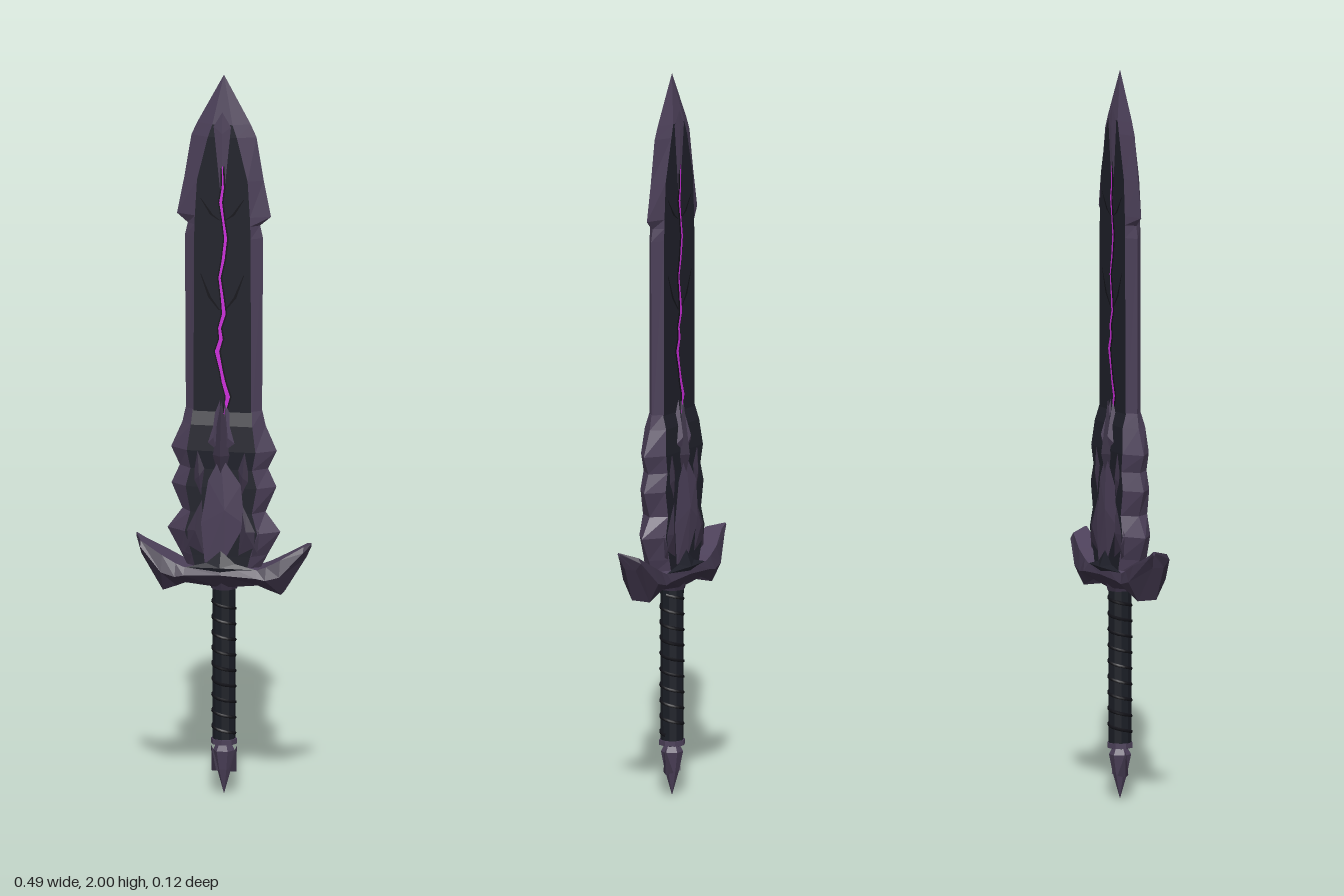
import * as THREE from 'three';

const mat = (name, color) => {
  const m = new THREE.MeshStandardMaterial({ color });
  m.name = name;
  return m;
};

export function createModel() {
  const model = new THREE.Group();
  model.name = 'sword';
  const purple = mat('dusky purple', 0x4c4059);
  const dim = mat('deep purple', 0x3a3145);
  const dark = mat('dark steel', 0x1f202a);
  const grip = mat('grip black', 0x1a1d25);
  const black = mat('crack black', 0x121218);
  const glow = mat('glowing magenta', 0xcc2cda);
  for (const m of [purple, dim, dark, grip]) m.flatShading = true;

  const add = (name, geo, material, parent = model) => {
    const mesh = new THREE.Mesh(geo, material);
    mesh.name = name;
    parent.add(mesh);
    return mesh;
  };

  // Faceted skin over rings of [x, y, z]; pick(side, row) chooses the material of a face
  function loft(name, rings, mats, pick) {
    const bins = mats.map(() => []);
    const tri = (k, ...p) => bins[k].push(...p.flat());
    const n = rings[0].length;
    rings.slice(0, -1).forEach((a, r) => {
      const b = rings[r + 1];
      for (let i = 0; i < n; i++) {
        const j = (i + 1) % n, k = pick(i, r);
        tri(k, a[i], a[j], b[j]);
        tri(k, a[i], b[j], b[i]);
      }
    });
    const first = rings[0], last = rings[rings.length - 1];
    for (let i = 1; i < n - 1; i++) {
      tri(0, first[0], first[i + 1], first[i]);
      tri(0, last[0], last[i], last[i + 1]);
    }
    const geo = new THREE.BufferGeometry();
    geo.setAttribute('position', new THREE.Float32BufferAttribute(bins.flat(), 3));
    let start = 0;
    bins.forEach((bin, k) => {
      geo.addGroup(start, bin.length / 3, k);
      start += bin.length / 3;
    });
    geo.computeVertexNormals();
    return add(name, geo, mats);
  }

  // Blade ring: edge half-width w, panel half-width p, panel depth t
  const bladeRing = ([y, w, p, t]) => [
    [w, y, 0], [p, y, -t], [-p, y, -t], [-w, y, 0], [-p, y, t], [p, y, t],
  ];
  const bladeColour = (side) => (side === 1 || side === 4 ? 1 : 0);

  // Long blade with barbed point
  loft('blade', [
    [0.68, 0.08, 0.06, 0.023], [1.0, 0.105, 0.08, 0.023], [1.55, 0.108, 0.078, 0.023],
    [1.585, 0.1, 0.077, 0.023], [1.61, 0.13, 0.076, 0.023], [1.71, 0.11, 0.07, 0.023],
    [1.83, 0.09, 0.04, 0.023], [1.865, 0.074, 0.028, 0.021], [2.0, 0, 0, 0],
  ].map(bladeRing), [purple, dark], (i, r) => (r < 7 ? bladeColour(i) : 0));

  // Jagged, thicker base of the blade
  loft('bladeBase', [
    [0.63, 0.1, 0.07, 0.041], [0.67, 0.12, 0.08, 0.041], [0.735, 0.156, 0.1, 0.042],
    [0.79, 0.115, 0.085, 0.04], [0.86, 0.145, 0.098, 0.04], [0.91, 0.122, 0.085, 0.038],
    [0.96, 0.146, 0.095, 0.04], [1.03, 0.115, 0.085, 0.034], [1.07, 0.106, 0.082, 0.022],
  ].map(bladeRing), [purple, dark], bladeColour);

  // Details repeated on the front and back faces
  const shard = (parent, name, outline, apex, z0, material) => {
    const pos = [];
    outline.forEach(([x, y], i) => {
      const [u, v] = outline[(i + 1) % outline.length];
      pos.push(x, y, z0, u, v, z0, ...apex);
    });
    const geo = new THREE.BufferGeometry();
    geo.setAttribute('position', new THREE.Float32BufferAttribute(pos, 3));
    geo.computeVertexNormals();
    add(name, geo, material, parent);
  };
  const ribbon = (parent, name, path, z, material) => {
    const right = path.map(([x, y, w]) => new THREE.Vector2(x + w, y));
    const left = path.map(([x, y, w]) => new THREE.Vector2(x - w, y)).reverse();
    const geo = new THREE.ShapeGeometry(new THREE.Shape([...right, ...left]));
    geo.translate(0, 0, z);
    add(name, geo, material, parent);
  };

  for (const side of ['front', 'back']) {
    const face = new THREE.Group();
    face.name = side + 'Ornament';
    if (side === 'back') face.rotation.y = Math.PI;
    model.add(face);

    // Glowing crack with a thin dark seam around it
    const crack = [
      [0.006, 1.06, 0.002], [0.016, 1.11, 0.006], [0.004, 1.15, 0.005], [-0.002, 1.18, 0.004],
      [-0.014, 1.235, 0.006], [-0.003, 1.27, 0.005], [-0.007, 1.3, 0.004], [0.005, 1.34, 0.005],
      [0.001, 1.38, 0.004], [-0.007, 1.44, 0.003], [0.003, 1.49, 0.004], [0.01, 1.55, 0.004],
      [0.003, 1.6, 0.003], [-0.004, 1.65, 0.004], [0.002, 1.69, 0.003], [0.001, 1.75, 0.001],
    ];
    ribbon(face, 'crackSeam', crack.map(([x, y, w]) => [x, y, w + 0.004]), 0.0242, black);
    ribbon(face, 'glowingCrack', crack, 0.0262, glow);
    for (const s of [-1, 1]) {
      const fissure = (pts) => ribbon(face, 'fissure',
        pts.map(([x, y, w]) => [x * s, y, w * s]), 0.0245, black);
      fissure([[0.008, 1.35, 0.002], [0.035, 1.385, 0.004], [0.06, 1.45, 0.001]]);
      fissure([[0.008, 1.6, 0.002], [0.03, 1.615, 0.004], [0.06, 1.66, 0.001]]);
    }
    // Light wedge running down from the point, under a dark chevron
    shard(face, 'pointWedge', [[0, 1.62], [0.024, 1.86], [0, 1.9], [-0.024, 1.86]],
      [0, 1.84, 0.0255], 0.0232, purple);

    // Crystals over the base
    for (const s of [-1, 1]) {
      const outline = (pts) => {
        const out = pts.map(([x, y]) => [x * s, y]);
        return s < 0 ? out.reverse() : out;
      };
      shard(face, 'lowerCrystal', outline([[0.04, 0.65], [0.1, 0.68], [0.105, 0.74], [0.07, 0.8], [0.05, 0.84]]),
        [0.07 * s, 0.74, 0.05], 0.038, dim);
      shard(face, 'sideCrystal', outline([[0.05, 0.78], [0.085, 0.87], [0.07, 1.03], [0.04, 0.92]]),
        [0.06 * s, 0.89, 0.046], 0.034, dim);
      shard(face, 'upperCrystal', outline([[0, 0.9], [0.06, 0.96], [0.006, 1.1]]),
        [0.02 * s, 1.0, 0.048], 0.024, purple);
    }
    shard(face, 'centreCrystal', [[-0.045, 0.65], [0.01, 0.66], [0.066, 0.76], [0.055, 0.87], [0, 0.95], [-0.035, 0.88], [-0.055, 0.76]],
      [0.012, 0.8, 0.052], 0.043, purple);
    shard(face, 'centreSpike', [[0, 0.86], [0.028, 0.95], [0, 1.1], [-0.028, 0.95]],
      [0, 0.95, 0.057], 0.036, dim);
    shard(face, 'guardCrystal', [[0, 0.6], [0.1, 0.635], [0.04, 0.65], [0, 0.685], [-0.04, 0.65], [-0.1, 0.635]],
      [0, 0.64, 0.062], 0.045, dark);
  }

  // Winged crossguard: stations of x, top, middle, bottom, depth, z shift
  const half = [
    [0, 0.65, 0.62, 0.58, 0.061, 0], [0.1, 0.635, 0.615, 0.59, 0.061, 0],
    [0.125, 0.645, 0.61, 0.58, 0.06, 0], [0.163, 0.665, 0.62, 0.566, 0.056, -0.001],
    [0.224, 0.7, 0.685, 0.664, 0.034, -0.005], [0.245, 0.712, 0.708, 0.702, 0.004, 0.018],
  ];
  const stations = [...half.slice(1).reverse().map(([x, a, b, c, d, s]) => [-x, a, b, c, d, -s]), ...half];
  loft('crossguard', stations.map(([x, top, mid, bot, d, s]) => [
    [x, top, s - d * 0.75], [x, top, s + d * 0.75], [x, mid, s + d],
    [x, bot, s + d * 0.5], [x, bot, s - d * 0.5], [x, mid, s - d],
  ]), [purple, dim], (i) => (i === 0 || i === 3 ? 0 : 1));

  // Grip with a shallow spiral wrap
  const handle = add('grip', new THREE.CylinderGeometry(0.032, 0.031, 0.45, 10), grip);
  handle.position.y = 0.365;
  const turns = 9, helix = [];
  for (let i = 0; i <= turns * 10; i++) {
    const a = (i / 10) * Math.PI * 2;
    helix.push(new THREE.Vector3(Math.cos(a) * 0.03, 0.17 + 0.39 * i / (turns * 10), Math.sin(a) * 0.03));
  }
  add('gripWrap', new THREE.TubeGeometry(new THREE.CatmullRomCurve3(helix), 180, 0.005, 5), black);

  // Collar, ring and pointed pommel
  const collar = add('collar', new THREE.CylinderGeometry(0.042, 0.036, 0.025, 8), dim);
  collar.position.y = 0.585;
  const ring = add('pommelRing', new THREE.CylinderGeometry(0.036, 0.036, 0.014, 8), purple);
  ring.position.y = 0.148;
  const profile = [[0, 0], [0.028, 0.07], [0.043, 0.122], [0.027, 0.143], [0, 0.143]];
  const pommel = add('pommel', new THREE.LatheGeometry(profile.map(([x, y]) => new THREE.Vector2(x, y)), 6), purple);
  pommel.rotation.y = Math.PI / 6;
  pommel.scale.set(0.7, 1, 0.7);
  // Small spurs at the pommel's widest point
  for (const s of [-1, 1]) {
    const spur = add('pommelSpur', new THREE.ConeGeometry(0.016, 0.07, 4), dim);
    spur.position.set(0.027 * s, 0.1, 0);
    spur.rotation.z = -0.25 * s;
  }

  return model;
}
